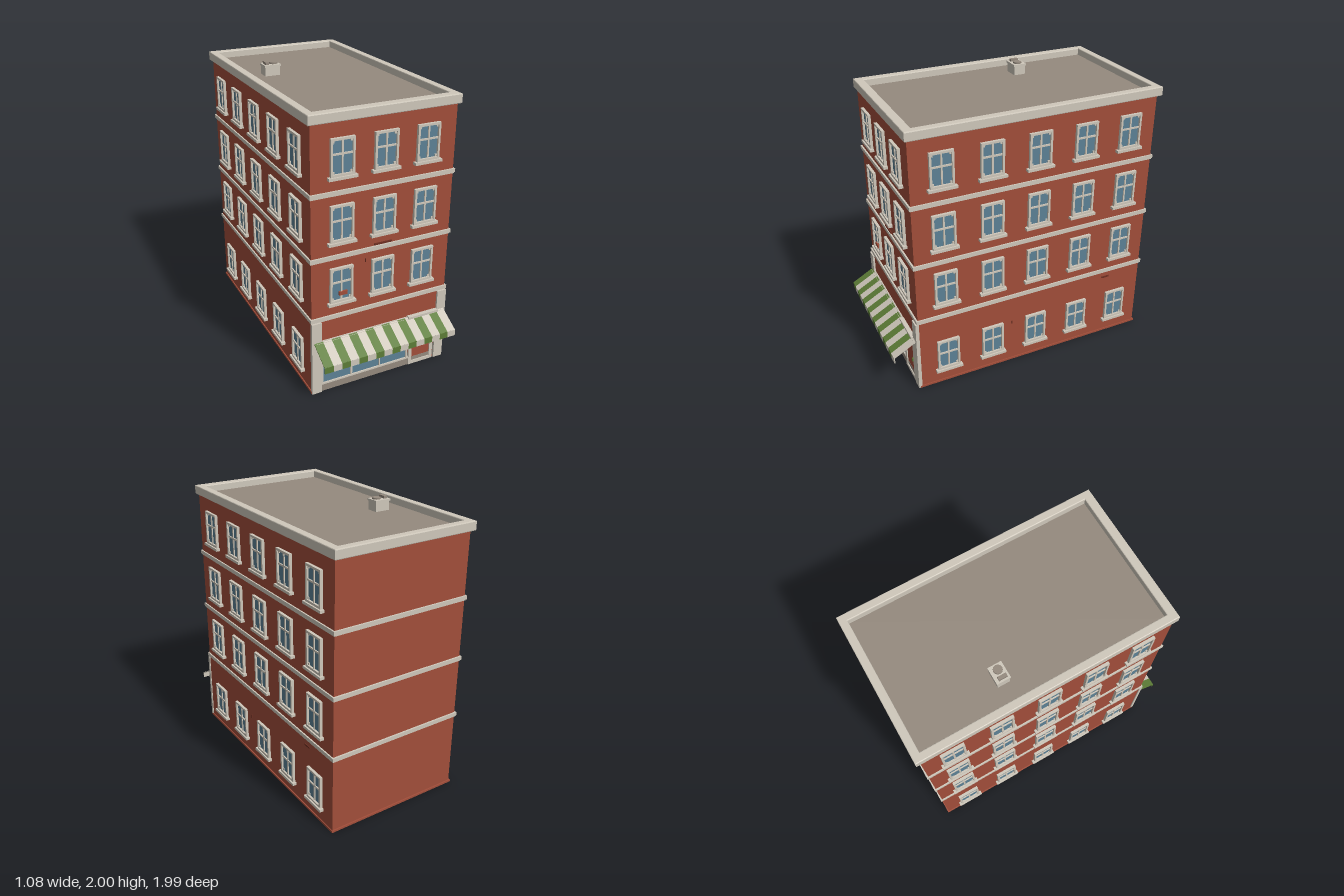
import * as THREE from 'three';

const mat = (name, color, side = THREE.FrontSide) => {
  const m = new THREE.MeshStandardMaterial({ color, side });
  m.name = name;
  return m;
};

export function createModel() {
  const brick = mat('brick red', 0xa24e3a);
  const trim = mat('stone cream', 0xcfc8bb);
  const glass = mat('window blue', 0x5d8296);
  const roofMat = mat('roof taupe', 0x958a7e);
  const green = mat('awning green', 0x5d7d37);
  const dark = mat('dark brick', 0x6e2f22);

  const model = new THREE.Group();
  model.name = 'building';

  // Box given by its min and max corners
  const box = (parent, name, m, x0, x1, y0, y1, z0, z1) => {
    const mesh = new THREE.Mesh(new THREE.BoxGeometry(x1 - x0, y1 - y0, z1 - z0), m);
    mesh.position.set((x0 + x1) / 2, (y0 + y1) / 2, (z0 + z1) / 2);
    mesh.name = name;
    parent.add(mesh);
    return mesh;
  };

  // Walls, plinth and floor bands
  const X = 0.51, ZF = 0.82, ZB = -0.965;
  box(model, 'walls', brick, -X, X, 0, 1.9, ZB, ZF);
  box(model, 'plinth', brick, -X - 0.008, X + 0.008, 0, 0.014, ZB - 0.01, ZF + 0.008);
  for (const y of [0.55, 0.985, 1.422]) {
    box(model, 'floorBand', trim, -0.52, 0.52, y + 0.006, y + 0.032, ZB - 0.012, ZF + 0.012);
    box(model, 'floorBandLedge', trim, -0.515, 0.515, y - 0.002, y + 0.006, ZB - 0.006, ZF + 0.006);
  }

  // Roof and parapet ring
  box(model, 'roof', roofMat, -0.49, 0.49, 1.895, 1.905, -0.95, 0.79);
  const rect = (path, x0, x1, z0, z1) =>
    path.moveTo(x0, -z1).lineTo(x1, -z1).lineTo(x1, -z0).lineTo(x0, -z0).closePath();
  const ring = new THREE.Shape();
  rect(ring, -0.53, 0.53, -0.993, 0.838);
  const hole = new THREE.Path();
  rect(hole, -0.475, 0.475, -0.938, 0.775);
  ring.holes.push(hole);
  const parapet = new THREE.Mesh(new THREE.ExtrudeGeometry(ring, {
    depth: 0.053, bevelEnabled: true, bevelSize: 0.006, bevelThickness: 0.006,
    bevelOffset: -0.006, bevelSegments: 2,
  }), trim);
  parapet.rotation.x = -Math.PI / 2;
  parapet.position.y = 1.896;
  parapet.name = 'parapet';
  model.add(parapet);

  // Roof vent
  const vent = new THREE.Group();
  vent.name = 'roofVent';
  model.add(vent);
  box(vent, 'ventBox', trim, -0.35, -0.24, 1.9, 1.972, -0.35, -0.265);
  box(vent, 'ventLid', trim, -0.355, -0.235, 1.968, 1.982, -0.355, -0.26);
  box(vent, 'ventSlot', roofMat, -0.342, -0.318, 1.98, 2.0, -0.333, -0.275);
  const fan = new THREE.Mesh(new THREE.CylinderGeometry(0.03, 0.03, 0.014, 12), roofMat);
  fan.position.set(-0.275, 1.986, -0.305);
  fan.name = 'ventFan';
  vent.add(fan);

  // Sash window in its own frame: x across, y from the frame bottom, z out of the wall
  const addWindow = (x, y, z, turn, h, split) => {
    const g = new THREE.Group();
    g.name = 'window';
    g.position.set(x, y, z);
    g.rotation.y = turn;
    model.add(g);
    const w = 0.082, t = 0.015;
    box(g, 'glass', glass, -w + 0.005, w - 0.005, 0.005, h - 0.005, 0, 0.006);
    for (const s of [-1, 1]) {
      const edge = s * (w - t / 2);
      box(g, 'frameSide', trim, edge - t / 2, edge + t / 2, 0, h, 0, 0.02);
      for (const cy of [t + 0.008, h - t - 0.008]) {
        const cx = s * (w - t - 0.006);
        box(g, 'frameCorner', trim, cx - 0.007, cx + 0.007, cy - 0.008, cy + 0.008, 0, 0.012);
      }
    }
    box(g, 'frameTop', trim, -w + t, w - t, h - t, h, 0, 0.02);
    box(g, 'frameBottom', trim, -w + t, w - t, 0, t, 0, 0.02);
    box(g, 'uprightBar', trim, -0.006, 0.006, t, h - t, 0, 0.013);
    box(g, 'crossBar', trim, -w + t, w - t, h * split - 0.006, h * split + 0.006, 0, 0.014);
    box(g, 'sill', trim, -0.099, 0.099, -0.019, 0, 0, 0.031);
  };

  // [frame bottom, frame height, crossbar position] for each floor
  const floors = [[0.12, 0.24, 0.55], [0.675, 0.25, 0.57], [1.11, 0.25, 0.57], [1.549, 0.243, 0.58]];
  floors.forEach(([y, h, split], floor) => {
    for (let i = 0; i < 5; i++) {
      const z = 0.609 - i * 0.343;
      addWindow(X, y, z, Math.PI / 2, h, split);
      addWindow(-X, y, z, -Math.PI / 2, h, split);
    }
    if (floor > 0) for (const x of [-0.301, 0, 0.301]) addWindow(x, y, ZF, 0, h, split);
  });

  // Shopfront: pilasters, fascia, display window and door
  const shop = new THREE.Group();
  shop.name = 'shopfront';
  model.add(shop);
  for (const s of [-1, 1]) {
    box(shop, 'pilaster', trim, Math.min(s * 0.445, s * 0.516), Math.max(s * 0.445, s * 0.516), 0, 0.55, ZF - 0.005, 0.84);
  }
  box(shop, 'fascia', brick, -0.445, 0.445, 0.4, 0.548, ZF, 0.826);
  box(shop, 'stallRiser', roofMat, -0.445, 0.235, 0, 0.058, ZF, 0.831);
  box(shop, 'displayGlass', glass, -0.435, 0.225, 0.058, 0.38, ZF, 0.825);
  box(shop, 'displaySill', trim, -0.445, 0.235, 0.054, 0.066, ZF, 0.835);
  box(shop, 'displayHead', trim, -0.445, 0.445, 0.375, 0.405, ZF, 0.835);
  for (const [x, w] of [[-0.438, 0.014], [-0.22, 0.014], [0, 0.008], [0.218, 0.012]]) {
    box(shop, 'displayMullion', trim, x - w / 2, x + w / 2, 0.062, 0.38, ZF, 0.833);
  }
  box(shop, 'door', brick, 0.26, 0.41, 0.055, 0.38, ZF, 0.828);
  box(shop, 'doorKickPlate', roofMat, 0.26, 0.41, 0.025, 0.055, ZF, 0.829);
  box(shop, 'doorStep', trim, 0.235, 0.435, 0, 0.025, ZF, 0.836);
  for (const x of [0.235, 0.408]) box(shop, 'doorJamb', trim, x, x + 0.025, 0.02, 0.38, ZF, 0.836);
  box(shop, 'doorHandle', green, 0.38, 0.394, 0.145, 0.17, 0.826, 0.838);
  box(shop, 'doorLamp', trim, 0.21, 0.45, 0.395, 0.412, ZF, 0.856);

  // Striped awning with hanging valance
  const awning = new THREE.Group();
  awning.name = 'awning';
  model.add(awning);
  box(awning, 'awningRail', trim, -0.49, 0.49, 0.382, 0.4, ZF, 0.85);
  const topY = 0.402, lowY = 0.315, backZ = 0.838, frontZ = 0.996;
  const length = Math.hypot(topY - lowY, frontZ - backZ);
  const slope = Math.atan2(topY - lowY, frontZ - backZ);
  for (let i = 0; i < 16; i++) {
    const x0 = -0.5 + i * 0.0625, m = i % 2 ? trim : green;
    const stripe = box(awning, 'awningStripe', m, x0, x0 + 0.0625, -0.003, 0.003, -length / 2, length / 2);
    stripe.position.y = (topY + lowY) / 2;
    stripe.position.z = (backZ + frontZ) / 2;
    stripe.rotation.x = slope;
    box(awning, 'valanceStripe', m, x0, x0 + 0.0625, 0.273, 0.317, 0.993, 1.0);
  }

  // Odd bricks standing proud of the walls
  box(model, 'proudBrick', brick, -0.32, -0.26, 0.722, 0.748, ZF, 0.84);
  box(model, 'proudBrick', dark, -0.065, 0.065, 1.022, 1.034, ZF, 0.828);
  box(model, 'proudBrick', dark, -0.128, -0.122, 0.915, 0.94, ZF, 0.826);
  box(model, 'proudBrick', dark, X, X + 0.006, 0.5, 0.512, -0.7, -0.64);
  box(model, 'proudBrick', dark, X, X + 0.006, 0.325, 0.35, 0.107, 0.113);

  return model;
}
